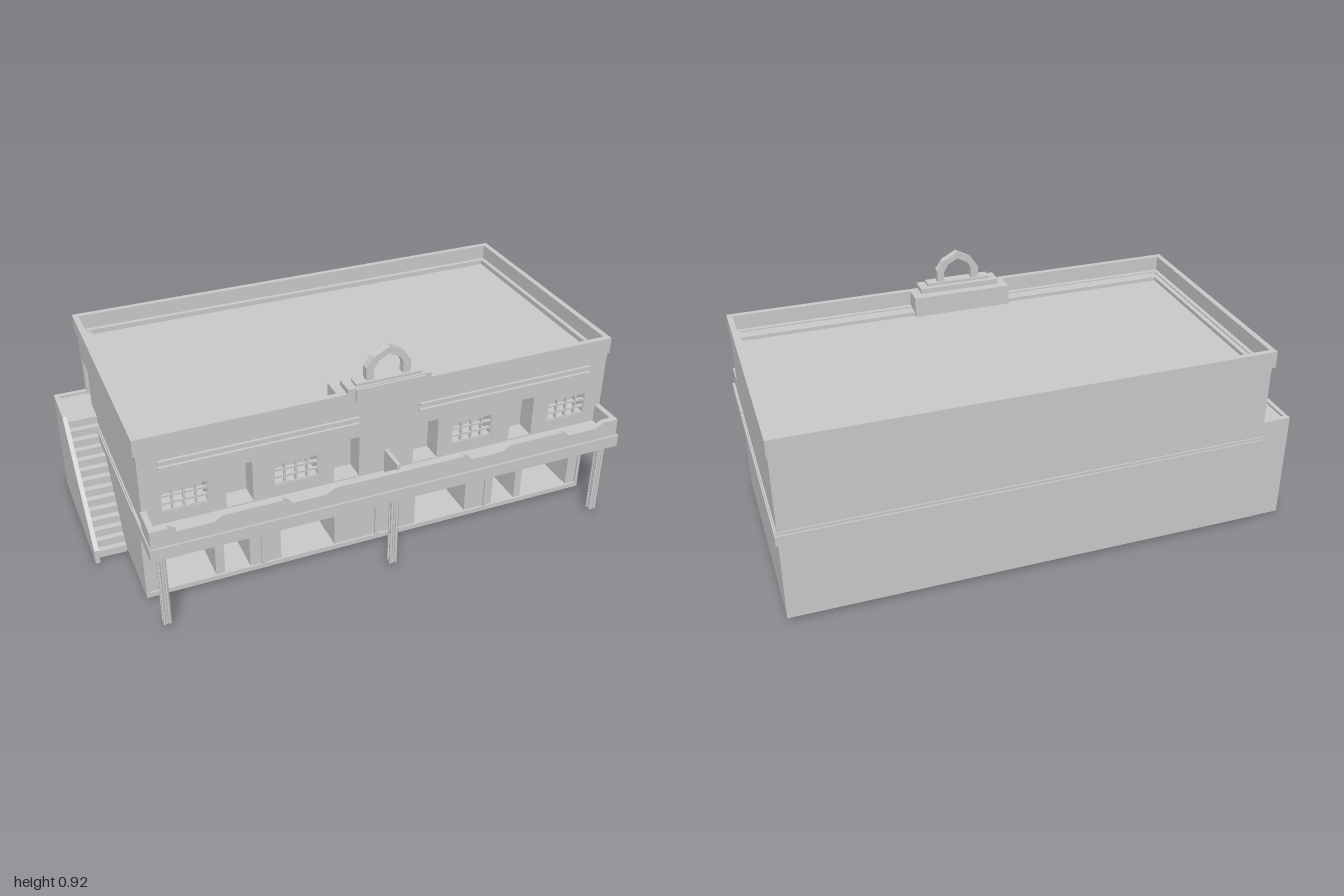
import * as THREE from 'three';

const mat = new THREE.MeshStandardMaterial({ color: 0xcccccc, flatShading: true });

export function createModel() {
  const model = new THREE.Group();

  const add = (name, geo, parent = model) => {
    const mesh = new THREE.Mesh(geo, mat);
    mesh.name = name;
    parent.add(mesh);
    return mesh;
  };
  // Box given by its two extreme corners
  const box = (name, x0, x1, y0, y1, z0, z1, parent) => {
    const geo = new THREE.BoxGeometry(x1 - x0, y1 - y0, z1 - z0);
    geo.translate((x0 + x1) / 2, (y0 + y1) / 2, (z0 + z1) / 2);
    return add(name, geo, parent);
  };
  const shapeOf = (pts) => new THREE.Shape(pts.map((p) => new THREE.Vector2(...p)));
  const extrude = (shape, depth) => new THREE.ExtrudeGeometry(shape, { depth, bevelEnabled: false });
  const rect = (x0, x1, y0, y1) => [[x0, y0], [x1, y0], [x1, y1], [x0, y1]];
  // Wall facing +z with rectangular openings [x0, x1, y0, y1]
  const wall = (name, outline, holes, z, depth) => {
    const shape = shapeOf(rect(...outline));
    holes.forEach((h) => shape.holes.push(new THREE.Path(rect(...h).map((p) => new THREE.Vector2(...p)))));
    const mesh = add(name, extrude(shape, depth), model);
    mesh.position.z = z;
    return mesh;
  };
  // Turns a mesh drawn in (z, y) so that it lies across x, ending at the given x
  const turn = (mesh, x) => {
    mesh.rotation.y = -Math.PI / 2;
    mesh.position.set(x, 0, 0);
  };

  // Ground floor: solid rear with deep shop openings in front
  const L = -0.87, R = 0.985;
  box('groundFloor', L, R, 0.02, 0.345, -0.54, 0.05);
  const shops = [[-0.82, -0.6, 0.29], [-0.565, -0.465, 0.245], [-0.34, -0.12, 0.29],
    [0.225, 0.45, 0.29], [0.575, 0.68, 0.245], [0.71, 0.93, 0.29]];
  wall('shopFront', [L, R, 0.02, 0.345], shops.map(([a, b, t]) => [a, b, 0.04, t]), 0.05, 0.292);
  for (const x of [L, -0.42, 0.05, 0.535, R - 0.012]) {
    box('pilaster', x, x + 0.012, 0.02, 0.345, 0.342, 0.35);
  }
  box('shopSill', L, R, 0.02, 0.04, 0.342, 0.35);

  // Floor band and balcony slab
  box('floorBand', -0.88, 0.995, 0.345, 0.385, -0.55, 0.55);
  box('upperBand', -0.875, 0.99, 0.385, 0.396, -0.545, 0.42);
  box('balconyEdge', -0.88, 0.995, 0.385, 0.395, 0.3, 0.55);

  // Upper floor with recessed doors and windows
  const windows = [[-0.8, -0.63], [-0.385, -0.215], [0.325, 0.495], [0.745, 0.91]];
  const doors = [[-0.565, -0.465], [-0.155, -0.055], [0.165, 0.265], [0.575, 0.675]];
  box('upperFloor', -0.82, R, 0.39, 0.68, -0.54, 0.34);
  wall('upperFront', [L, R, 0.39, 0.7], [
    ...windows.map(([a, b]) => [a, b, 0.445, 0.535]),
    ...doors.map(([a, b]) => [a, b, 0.4, 0.57]),
  ], 0.34, 0.08);
  turn(wall('stairSideWall', [-0.54, 0.34, 0.39, 0.7], [[-0.49, -0.4, 0.43, 0.585]], 0, 0.05), -0.82);
  for (const [a, b] of windows) {
    const grid = new THREE.Group();
    grid.name = 'windowGrid';
    model.add(grid);
    for (let i = 0; i <= 4; i++) {
      const x = a + (b - a) * i / 4;
      box('verticalBar', x - 0.004, x + 0.004, 0.445, 0.535, 0.405, 0.417, grid);
    }
    for (let i = 0; i <= 3; i++) {
      const y = 0.445 + 0.03 * i;
      box('crossBar', a, b, y - 0.004, y + 0.004, 0.405, 0.417, grid);
    }
  }

  // Thin moulding strips above the windows
  for (const [a, b] of [[-0.8, -0.06], [0.18, 0.91]]) {
    box('upperStrip', a, b, 0.65, 0.66, 0.42, 0.431);
    box('lowerStrip', a, b, 0.625, 0.635, 0.42, 0.431);
  }

  // Roof, stepped inner ledge and cornice
  const ring = (name, x0, x1, z0, z1, t, y0, y1) => {
    box(name, x0, x1, y0, y1, z1 - t, z1);
    box(name, x0, x1, y0, y1, z0, z0 + t);
    box(name, x0, x0 + t, y0, y1, z0 + t, z1 - t);
    box(name, x1 - t, x1, y0, y1, z0 + t, z1 - t);
  };
  box('roof', L, R, 0.66, 0.685, -0.54, 0.42);
  ring('cornice', -0.88, 0.99, -0.55, 0.427, 0.022, 0.7, 0.765);
  ring('corniceGroove', -0.871, 0.986, -0.541, 0.421, 0.02, 0.68, 0.7);
  ring('roofLedge', -0.86, 0.97, -0.53, 0.407, 0.02, 0.68, 0.705);

  // Balcony parapet, dipping in front of each window
  const top = [];
  for (const [a, b] of windows) {
    top.push([a - 0.01, 0.467], [a + 0.02, 0.447], [b - 0.02, 0.447], [b + 0.01, 0.467]);
  }
  const front = shapeOf([[0.985, 0.467], [0.985, 0.39], [-0.875, 0.39], [-0.875, 0.467], ...top]);
  add('balconyFront', extrude(front, 0.022)).position.z = 0.522;
  for (const x of [-0.875, 0.963]) box('balconyEnd', x, x + 0.022, 0.39, 0.467, 0.42, 0.524);
  box('balconyDivider', 0.046, 0.06, 0.39, 0.49, 0.42, 0.53);

  // Porch columns: shaft with four slim ribs
  for (const x of [-0.835, 0.055, 0.955]) {
    const column = new THREE.Group();
    column.name = 'column';
    column.position.set(x, 0.1825, 0.498);
    model.add(column);
    add('shaft', new THREE.CylinderGeometry(0.013, 0.013, 0.325, 8), column);
    for (let i = 0; i < 4; i++) {
      const a = (i + 0.5) * Math.PI / 2;
      add('rib', new THREE.CylinderGeometry(0.006, 0.006, 0.325, 6), column)
        .position.set(Math.cos(a) * 0.014, 0, Math.sin(a) * 0.014);
    }
  }

  // Roof crest with pointed arch
  const cx = 0.056;
  box('crestBase', cx - 0.198, cx + 0.198, 0.68, 0.766, 0.325, 0.41);
  box('crestSlab', cx - 0.163, cx + 0.163, 0.762, 0.787, 0.36, 0.432);
  box('crestStep', cx - 0.13, cx + 0.13, 0.787, 0.798, 0.38, 0.424);
  box('crestPlaque', cx - 0.133, cx + 0.133, 0.735, 0.783, 0.42, 0.44);
  const boss = shapeOf([[cx - 0.06, 0.736], [cx - 0.04, 0.711], [cx + 0.04, 0.711], [cx + 0.06, 0.736]]);
  add('crestBoss', extrude(boss, 0.018)).position.z = 0.42;
  const outer = [[0.085, 0.796], [0.087, 0.845], [0.06, 0.885], [0, 0.917]];
  const inner = [[0, 0.89], [0.04, 0.868], [0.058, 0.838], [0.056, 0.796]];
  const mirror = (pts) => pts.slice().reverse().map(([x, y]) => [-x, y]);
  const archPts = [...outer, ...mirror(outer).slice(1), ...mirror(inner), ...inner.slice(1)];
  add('crestArch', extrude(shapeOf(archPts.map(([x, y]) => [x + cx, y])), 0.03)).position.z = 0.385;

  // Side staircase: steps, landing, solid outer rail and rear wall
  const steps = 14, z0 = 0.03, z1 = -0.33, rise = 0.43 / steps, run = (z1 - z0) / steps;
  const upper = [], lower = [];
  for (let i = 0; i < steps; i++) {
    const z = z0 + run * i, y = rise * i;
    upper.push([z, y], [z, y + rise]);
    lower.push([z + run, Math.max(0, y + rise - 0.015)], [z + run, y + rise * 2 - 0.015]);
  }
  lower.pop();
  const flight = shapeOf([...upper, [z1, 0.43], ...lower.reverse()]);
  turn(add('stairFlight', extrude(flight, 0.115)), -0.868);
  box('landing', -0.983, -0.868, 0.41, 0.43, -0.515, z1);
  const rail = shapeOf([[0.06, 0], [0.06, 0.06], [0.045, 0.075], [-0.33, 0.44], [-0.515, 0.44], [-0.515, 0]]);
  turn(add('stairOuterWall', extrude(rail, 0.018)), -0.982);
  box('stairRearWall', -0.983, -0.868, 0, 0.44, -0.515, -0.495);

  return model;
}
